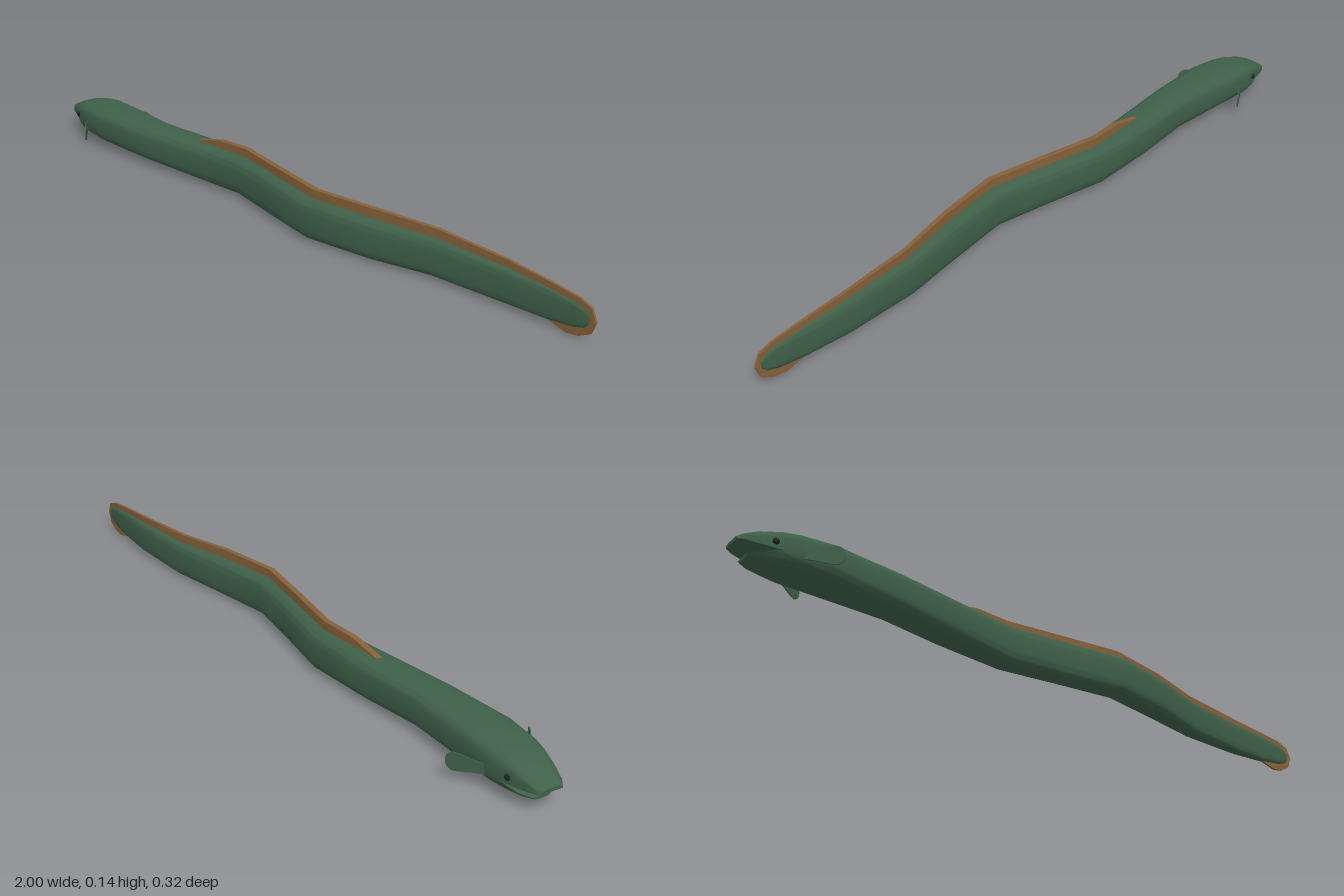
import * as THREE from 'three';
import { toCreasedNormals } from 'three/addons/utils/BufferGeometryUtils.js';

const green = new THREE.MeshStandardMaterial({ color: 0x3f6049 });
const brown = new THREE.MeshStandardMaterial({ color: 0x85603a });
const dark = new THREE.MeshStandardMaterial({ color: 0x1c2620 });

// Skin a list of closed rings of [x, y, z] and cap both ends
function loft(rings, crease) {
  const n = rings[0].length, pos = rings.flat(2), index = [];
  const at = (i, j) => i * n + (j % n);
  for (let i = 0; i < rings.length - 1; i++) {
    for (let j = 0; j < n; j++) {
      index.push(at(i, j), at(i + 1, j), at(i, j + 1));
      index.push(at(i, j + 1), at(i + 1, j), at(i + 1, j + 1));
    }
  }
  const last = rings.length - 1;
  for (let j = 1; j < n - 1; j++) {
    index.push(at(0, 0), at(0, j), at(0, j + 1));
    index.push(at(last, 0), at(last, j + 1), at(last, j));
  }
  const g = new THREE.BufferGeometry();
  g.setAttribute('position', new THREE.Float32BufferAttribute(pos, 3));
  g.setIndex(index);
  return toCreasedNormals(g, crease);
}

// Rounded-square cross-section, optionally cut flat at lo or hi
function section([x, z, w, top, bottom, lo = -1, hi = 1]) {
  const ring = [], n = 32, cy = (top + bottom) / 2, h = (top - bottom) / 2;
  const power = (v) => Math.sign(v) * Math.abs(v) ** 0.55;
  for (let j = 0; j < n; j++) {
    const t = (j / n) * Math.PI * 2;
    const y = Math.min(hi, Math.max(lo, cy + h * power(Math.sin(t))));
    ring.push([x, y, z + w * power(Math.cos(t))]);
  }
  return ring;
}

// Body stations: x, centre z, half width, top y, bottom y
const BODY = [
  [-0.9, 0.038, 0.062, 0.108, 0.022],
  [-0.86, 0.038, 0.068, 0.113, 0.019],
  [-0.77, 0.039, 0.071, 0.116, 0.017],
  [-0.57, 0.024, 0.057, 0.115, 0.013],
  [-0.39, -0.01, 0.054, 0.115, 0.009],
  [-0.185, -0.042, 0.045, 0.115, 0.006],
  [0, -0.024, 0.042, 0.115, 0.005],
  [0.17, -0.01, 0.042, 0.115, 0.005],
  [0.36, -0.055, 0.04, 0.112, 0.005],
  [0.53, -0.107, 0.029, 0.107, 0.007],
  [0.74, -0.136, 0.021, 0.1, 0.009],
  [0.87, -0.146, 0.013, 0.092, 0.014],
  [0.94, -0.151, 0.008, 0.086, 0.022],
  [0.97, -0.153, 0.006, 0.078, 0.031],
  [0.985, -0.154, 0.003, 0.065, 0.045],
];

// Centre line z at a given x
function spineZ(x) {
  const i = Math.max(1, BODY.findIndex((s) => s[0] >= x));
  const a = BODY[i - 1], b = BODY[i];
  if (x > 0.985) return -0.154;
  return THREE.MathUtils.lerp(a[1], b[1], (x - a[0]) / (b[0] - a[0]));
}

// Jaws continue the first body station and are cut along the mouth
const UPPER_JAW = [
  [-1, 0.037, 0.03, 0.069, 0.055, 0.06],
  [-0.985, 0.037, 0.04, 0.08, 0.045, 0.058],
  [-0.95, 0.037, 0.05, 0.096, 0.03, 0.054],
  [-0.9, 0.038, 0.062, 0.108, 0.022, 0.049],
];
const LOWER_JAW = [
  [-0.97, 0.037, 0.026, 0.06, 0.027, -1, 0.034],
  [-0.945, 0.037, 0.046, 0.09, 0.024, -1, 0.039],
  [-0.9, 0.038, 0.062, 0.108, 0.022, -1, 0.049],
];

// Fin stations running over the back and round the tail: outer x, y, inner x, y
const FIN = [
  [-0.39, 0.114, -0.39, 0.1], [-0.29, 0.137, -0.29, 0.1],
  [-0.185, 0.139, -0.185, 0.1], [0, 0.139, 0, 0.1],
  [0.17, 0.139, 0.17, 0.1], [0.36, 0.138, 0.36, 0.095],
  [0.53, 0.131, 0.53, 0.09], [0.74, 0.119, 0.74, 0.08],
  [0.87, 0.108, 0.87, 0.075], [0.95, 0.099, 0.94, 0.07],
  [0.985, 0.086, 0.955, 0.06], [1, 0.055, 0.96, 0.053],
  [0.987, 0.022, 0.955, 0.046], [0.955, 0.005, 0.94, 0.04],
  [0.92, 0, 0.91, 0.035], [0.87, 0.012, 0.87, 0.03],
];

export function createModel() {
  const model = new THREE.Group();
  const add = (name, geometry, material) => {
    const mesh = new THREE.Mesh(geometry, material);
    mesh.name = name;
    model.add(mesh);
    return mesh;
  };

  add('body', loft(BODY.map(section), 0.9), green);
  add('upperJaw', loft(UPPER_JAW.map(section), 0.9), green);
  add('lowerJaw', loft(LOWER_JAW.map(section), 0.9), green);

  // Continuous fin along the back and tail
  const finRings = FIN.map(([ox, oy, ix, iy]) => {
    const zo = spineZ(ox), zi = spineZ(ix);
    const t = THREE.MathUtils.clamp(0.009 - 0.006 * ox, 0.003, 0.008);
    return [[ix, iy, zi + t], [ox, oy, zo + t], [ox, oy, zo - t], [ix, iy, zi - t]];
  });
  add('backFin', loft(finRings, 0.6), brown);

  // Paddle-shaped side fins, swept back
  const paddle = new THREE.Shape();
  paddle.moveTo(0, -0.013);
  paddle.lineTo(0.03, -0.016);
  paddle.quadraticCurveTo(0.06, -0.024, 0.078, -0.024);
  paddle.quadraticCurveTo(0.096, -0.018, 0.096, 0);
  paddle.quadraticCurveTo(0.096, 0.018, 0.078, 0.024);
  paddle.quadraticCurveTo(0.06, 0.024, 0.03, 0.016);
  paddle.lineTo(0, 0.013);
  const finGeometry = new THREE.ExtrudeGeometry(paddle, { depth: 0.003, bevelEnabled: false });
  finGeometry.translate(0, 0, -0.0015);

  for (const [side, s] of [['left', -1], ['right', 1]]) {
    const fin = add(side + 'SideFin', finGeometry, green);
    fin.position.set(-0.85, 0.053, 0.038 + s * 0.065);
    fin.rotation.y = -s * 0.58;

    const eye = add(side + 'Eye', new THREE.SphereGeometry(0.009, 16, 12), dark);
    eye.position.set(-0.917, 0.068, 0.038 + s * 0.055);
  }
  return model;
}
